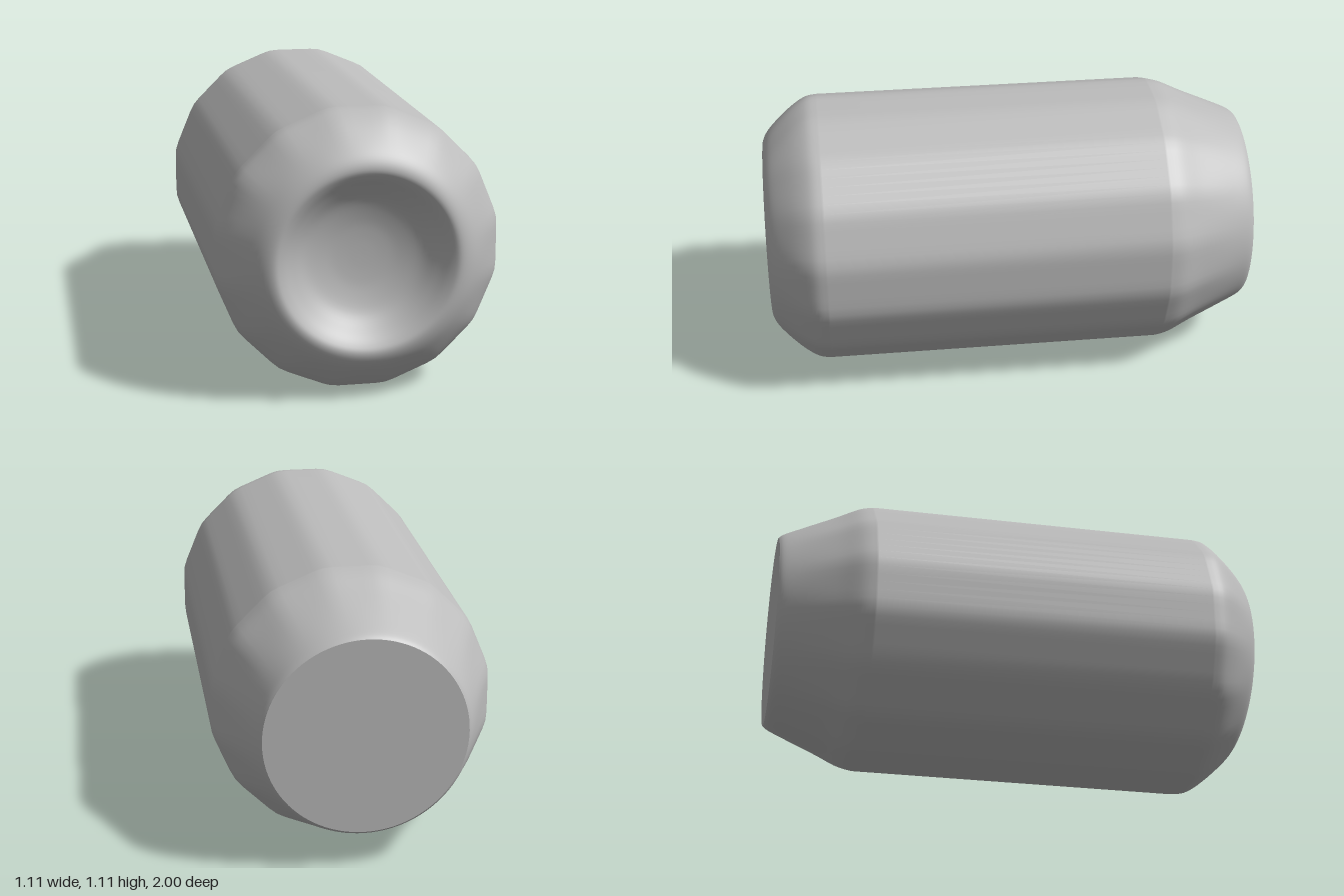
import * as THREE from 'three';
import { mergeVertices } from 'three/addons/utils/BufferGeometryUtils.js';

const SEGMENTS = 96;
const FACETS = 16;
const CENTER_Y = 0.555;

// Smooth curve through [radius, z] pairs
function smooth(pairs, count) {
  const curve = new THREE.SplineCurve(pairs.map(([r, z]) => new THREE.Vector2(r, z)));
  return curve.getPoints(count).map((p) => new THREE.Vector2(Math.max(p.x, 0), p.y));
}

// Revolve a back-to-front profile about z, with soft facets along the wall
function revolve(profile) {
  let g = new THREE.LatheGeometry(profile, SEGMENTS);
  g.deleteAttribute('uv');
  g.deleteAttribute('normal');
  g.rotateX(Math.PI / 2);
  const pos = g.attributes.position;
  const step = (Math.PI * 2) / FACETS;
  for (let i = 0; i < pos.count; i++) {
    const x = pos.getX(i), y = pos.getY(i);
    const a = Math.atan2(y, x);
    const off = a - Math.round(a / step) * step;
    const weight = THREE.MathUtils.smoothstep(Math.hypot(x, y), 0.4, 0.55);
    const k = 1 + weight * (Math.min(1 / Math.cos(off), 1.014) - 1);
    pos.setXY(i, x * k, y * k);
  }
  g = mergeVertices(g, 1e-5);
  g.computeVertexNormals();
  return g;
}

export function createModel() {
  const model = new THREE.Group();
  const metal = new THREE.MeshStandardMaterial({ color: 0xbcbcbc });
  metal.name = 'plain grey';

  const add = (name, geometry) => {
    const mesh = new THREE.Mesh(geometry, metal);
    mesh.name = name;
    mesh.position.y = CENTER_Y;
    model.add(mesh);
  };

  // Tapered shoulder, straight wall, rounded base rim and concave base
  const shoulder = smooth([
    [0.395, -1], [0.413, -0.975], [0.45, -0.89], [0.5, -0.77], [0.54, -0.68], [0.553, -0.62],
  ], 24);
  const baseRim = smooth([
    [0.553, 0.76], [0.545, 0.81], [0.51, 0.87], [0.455, 0.935], [0.405, 0.98],
    [0.36, 0.998], [0.325, 0.985], [0.28, 0.95], [0.22, 0.91], [0.14, 0.885],
    [0.07, 0.876], [0, 0.874],
  ], 48);
  add('canBody', revolve([...shoulder, ...baseRim]));

  // Flat lid at the back
  const lid = new THREE.CircleGeometry(0.395, SEGMENTS);
  lid.rotateY(Math.PI);
  lid.translate(0, 0, -1);
  add('lid', lid);

  return model;
}
